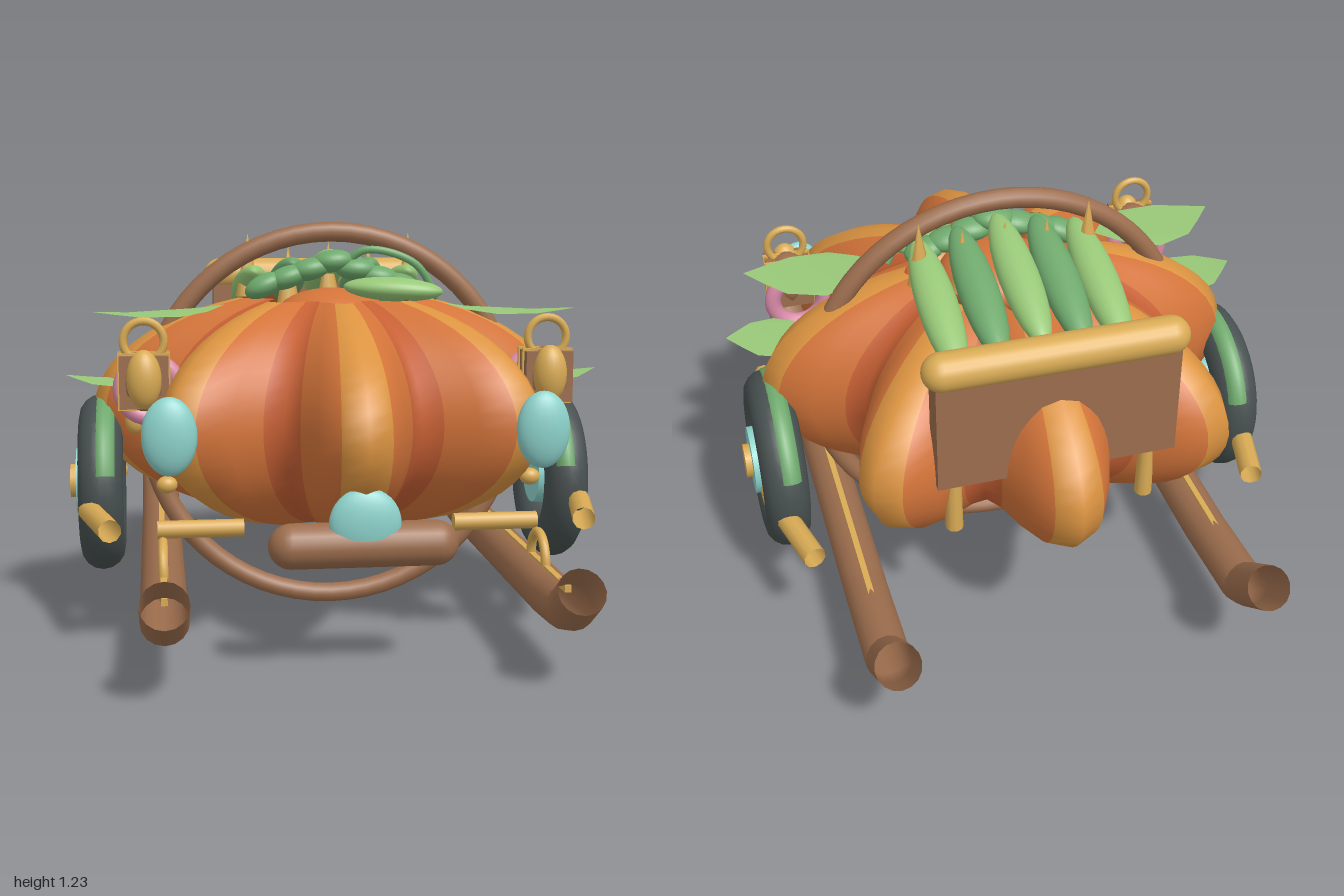
import * as THREE from 'three';

const mat = (name, color, side = THREE.FrontSide) => {
  const m = new THREE.MeshStandardMaterial({ color, side });
  m.name = name;
  return m;
};

export function createModel() {
  const D = THREE.DoubleSide;
  const orange = mat('orange', 0xd3743a, D), amber = mat('amber', 0xdc9441, D), rust = mat('rust', 0xc76034, D);
  const brown = mat('brown', 0x9c6d4d, D), gold = mat('gold', 0xd9ab55, D);
  const leafGreen = mat('leaf green', 0x98c878, D), deepGreen = mat('deep green', 0x6fa96d, D);
  const teal = mat('teal', 0x8dd2cb), rubber = mat('rubber', 0x485150), pink = mat('pink', 0xd98ba8);

  const root = new THREE.Group();
  const V = (x, y, z) => new THREE.Vector3(x, y, z);
  const add = (name, geo, material, x = 0, y = 0, z = 0, rx = 0, ry = 0, rz = 0, parent = root) => {
    const m = new THREE.Mesh(geo, material);
    m.name = name;
    m.position.set(x, y, z);
    m.rotation.set(rx, ry, rz);
    parent.add(m);
    return m;
  };
  const ball = (a, b, c) => new THREE.SphereGeometry(1, 24, 16).scale(a, b, c);
  // tube with straight runs between its points
  const bentTube = (pts, r, sides = 16) => {
    const path = new THREE.CurvePath();
    for (let i = 1; i < pts.length; i++) path.add(new THREE.LineCurve3(pts[i - 1], pts[i]));
    return new THREE.TubeGeometry(path, 48, r, sides);
  };

  // Pumpkin shell: eight lobes, open at top and bottom, striped per lobe
  const cols = 64, rows = 20, pos = [], faces = [[], [], []];
  for (let j = 0; j <= rows; j++) {
    const phi = THREE.MathUtils.degToRad(-67 + (134 * j) / rows);
    for (let i = 0; i < cols; i++) {
      const t = (i / cols) * Math.PI * 2;
      const r = 0.85 * (0.69 + 0.155 * (1 + Math.cos(8 * t))) * Math.cos(phi);
      pos.push(0.88 * r * Math.sin(t), 0.66 + 0.37 * Math.sin(phi), r * Math.cos(t) - 0.03);
    }
  }
  for (let i = 0; i < cols; i++) {
    const k = i % 8, stripe = [0, 1, 1, 2][Math.min(k, 7 - k)], n = (i + 1) % cols;
    for (let j = 0; j < rows; j++) {
      const a = j * cols + i, b = j * cols + n;
      faces[stripe].push(a, b, b + cols, a, b + cols, a + cols);
    }
  }
  const shell = new THREE.BufferGeometry();
  shell.setAttribute('position', new THREE.Float32BufferAttribute(pos, 3));
  shell.setIndex(faces.flat());
  let start = 0;
  faces.forEach((f, i) => { shell.addGroup(start, f.length, i); start += f.length; });
  shell.computeVertexNormals();
  add('pumpkinBody', shell, [amber, orange, rust]);
  add('pumpkinLid', ball(0.18, 0.09, 0.18), orange, 0, 0.94, -0.01);

  // Hoop around the body
  add('hoop', new THREE.TorusGeometry(0.585, 0.031, 12, 64), brown, 0, 0.62, -0.03);

  // Canopy of pods, with beads and a tendril at its front edge
  for (let i = -2; i <= 2; i++) {
    const x = i * 0.122, drop = Math.abs(i) * 0.025;
    add('canopyPod', ball(0.06, 0.05, 0.265), i % 2 ? deepGreen : leafGreen, x, 1.065 - drop, -0.25, -0.27);
    add('canopySpike', new THREE.ConeGeometry(0.04, 0.2, 8), gold, x * 1.06, [1.07, 1.06, 1.1][Math.abs(i)], -0.1);
  }
  for (let i = -3; i <= 3; i++) {
    add('canopyBead', ball(0.065, 0.035, 0.05), deepGreen, i * 0.072, 1.115 - Math.abs(i) * 0.025, 0.02, 0, 0, -i * 0.12 + 0.1);
  }
  add('frontPod', ball(0.155, 0.037, 0.06), leafGreen, 0.18, 1.03, 0.09, 0, -0.2, -0.05);
  const tendril = [V(0.03, 1.1, 0.02), V(0.1, 1.15, 0.05), V(0.25, 1.11, 0.06), V(0.33, 1.0, 0.04)];
  add('tendril', new THREE.TubeGeometry(new THREE.CatmullRomCurve3(tendril), 24, 0.012, 8), deepGreen);

  // Rear panel with rail and window
  add('rearPanel', new THREE.BoxGeometry(0.7, 0.34, 0.08), brown, 0, 0.84, -0.61);
  add('rearRail', new THREE.CapsuleGeometry(0.055, 0.65, 8, 20), gold, 0, 1.045, -0.615, 0, 0, Math.PI / 2);
  add('rearWindow', new THREE.BoxGeometry(0.5, 0.15, 0.03), teal, 0, 0.9, -0.555);

  // Front bumper and centre lamp
  add('bumper', new THREE.CapsuleGeometry(0.063, 0.4, 8, 20), brown, 0, 0.372, 0.71, 0, 0, Math.PI / 2);
  add('centreLamp', ball(0.1, 0.1, 0.038), teal, 0, 0.435, 0.735);

  // Leaf: jagged outline along +x, folded along its middle
  const leaf = (len, width) => {
    const s = new THREE.Shape();
    const edge = [[0, 0], [0.18, 0.32], [0.4, 0.5], [0.68, 0.42], [0.84, 0.22]];
    s.moveTo(0, 0);
    edge.slice(1).forEach(([u, v]) => s.lineTo(u * len, v * width));
    s.lineTo(len, 0);
    edge.slice(1).reverse().forEach(([u, v]) => s.lineTo(u * len, -v * width));
    const g = new THREE.ShapeGeometry(s).rotateX(-Math.PI / 2), p = g.attributes.position;
    for (let i = 0; i < p.count; i++) p.setY(i, -0.16 * Math.abs(p.getZ(i)));
    g.computeVertexNormals();
    return g;
  };

  for (const s of [1, -1]) {
    const side = new THREE.Group();
    side.name = s > 0 ? 'leftSide' : 'rightSide';
    root.add(side);
    const put = (name, geo, m, x, y, z, rx = 0, ry = 0, rz = 0) =>
      add(name, geo, m, s * x, y, z, rx, s * ry, s * rz, side);
    const mirrored = (pts) => pts.map(([x, y, z]) => V(s * x, y, z));

    // Sled runner
    put('runner', bentTube([[0.95, 0.285], [0.84, 0.208], [0.65, 0.197], [-0.5, 0.197], [-0.8, 0.22], [-0.955, 0.345]]
      .map(([z, y]) => V(0, y, z)), 0.066), brown, 0.545, 0, 0);
    put('runnerStrip', new THREE.BoxGeometry(0.018, 0.02, 1.6), gold, 0.545, 0.258, 0.02);
    put('runnerLoop', new THREE.TorusGeometry(0.08, 0.014, 10, 28), gold, 0.545, 0.265, 0.51, 0, Math.PI / 2);

    // Wheel, hub and mudguard
    put('tyre', new THREE.TorusGeometry(0.21, 0.069, 16, 40), rubber, 0.73, 0.415, -0.06, 0, Math.PI / 2);
    put('hub', new THREE.CylinderGeometry(0.105, 0.105, 0.14, 24), teal, 0.74, 0.42, -0.06, 0, 0, Math.PI / 2);
    put('hubCap', new THREE.CylinderGeometry(0.053, 0.053, 0.08, 16), gold, 0.79, 0.42, -0.06, 0, 0, Math.PI / 2);
    const guard = new THREE.TorusGeometry(0.25, 0.036, 12, 32, 2.55).rotateZ(0.35).rotateY(Math.PI / 2);
    add('mudguard', guard, deepGreen, s * 0.718, 0.415, -0.06, 0, 0, 0, side);

    // Side rail, front axle stubs and rear pipes
    add('sideRail', bentTube(mirrored([[0.695, 0.37, 0.46], [0.765, 0.37, 0.17], [0.765, 0.37, -0.21], [0.69, 0.37, -0.5]]), 0.034, 10),
      gold, 0, 0, 0, 0, 0, 0, side);
    put('axleStub', new THREE.CylinderGeometry(0.026, 0.026, 0.25, 10), gold, 0.435, 0.362, 0.42, 0, 0, Math.PI / 2);
    put('rearPipe', new THREE.CylinderGeometry(0.022, 0.026, 0.2, 10), gold, 0.29, 0.57, -0.585);

    // Headlamp and lantern
    put('headlamp', ball(0.077, 0.11, 0.042), teal, 0.523, 0.665, 0.615);
    put('lanternBody', new THREE.CapsuleGeometry(0.072, 0.03, 6, 8), brown, 0.59, 0.79, 0.38);
    put('lanternCase', new THREE.BoxGeometry(0.14, 0.15, 0.11), brown, 0.59, 0.79, 0.375);
    put('lanternGlass', ball(0.05, 0.085, 0.045), gold, 0.59, 0.8, 0.43);
    for (const z of [0.345, 0.395]) put('lanternBand', new THREE.BoxGeometry(0.15, 0.165, 0.012), gold, 0.59, 0.79, z);
    put('lanternHandle', new THREE.TorusGeometry(0.058, 0.012, 8, 28), gold, 0.59, 0.905, 0.39);
    put('lanternRing', new THREE.TorusGeometry(0.082, 0.026, 12, 28), pink, 0.575, 0.755, 0.295);

    // Brass knobs on the flanks
    put('sideKnob', ball(0.03, 0.042, 0.028), gold, 0.62, 0.65, 0.2);
    put('lowerKnob', ball(0.03, 0.025, 0.025), gold, 0.53, 0.5, 0.45);

    // Leaves
    const upper = put('upperLeaf', leaf(0.42, 0.25), leafGreen, 0.34, 0.985, 0.06, 0, -0.2, -0.03);
    const lower = put('lowerLeaf', leaf(0.27, 0.22), leafGreen, 0.56, 0.765, 0.1, 0, 0, 0.05);
    if (s < 0) for (const l of [upper, lower]) l.rotation.y = Math.PI - l.rotation.y * -1;
    if (s < 0) for (const l of [upper, lower]) l.rotation.z *= -1;
  }
  return root;
}
